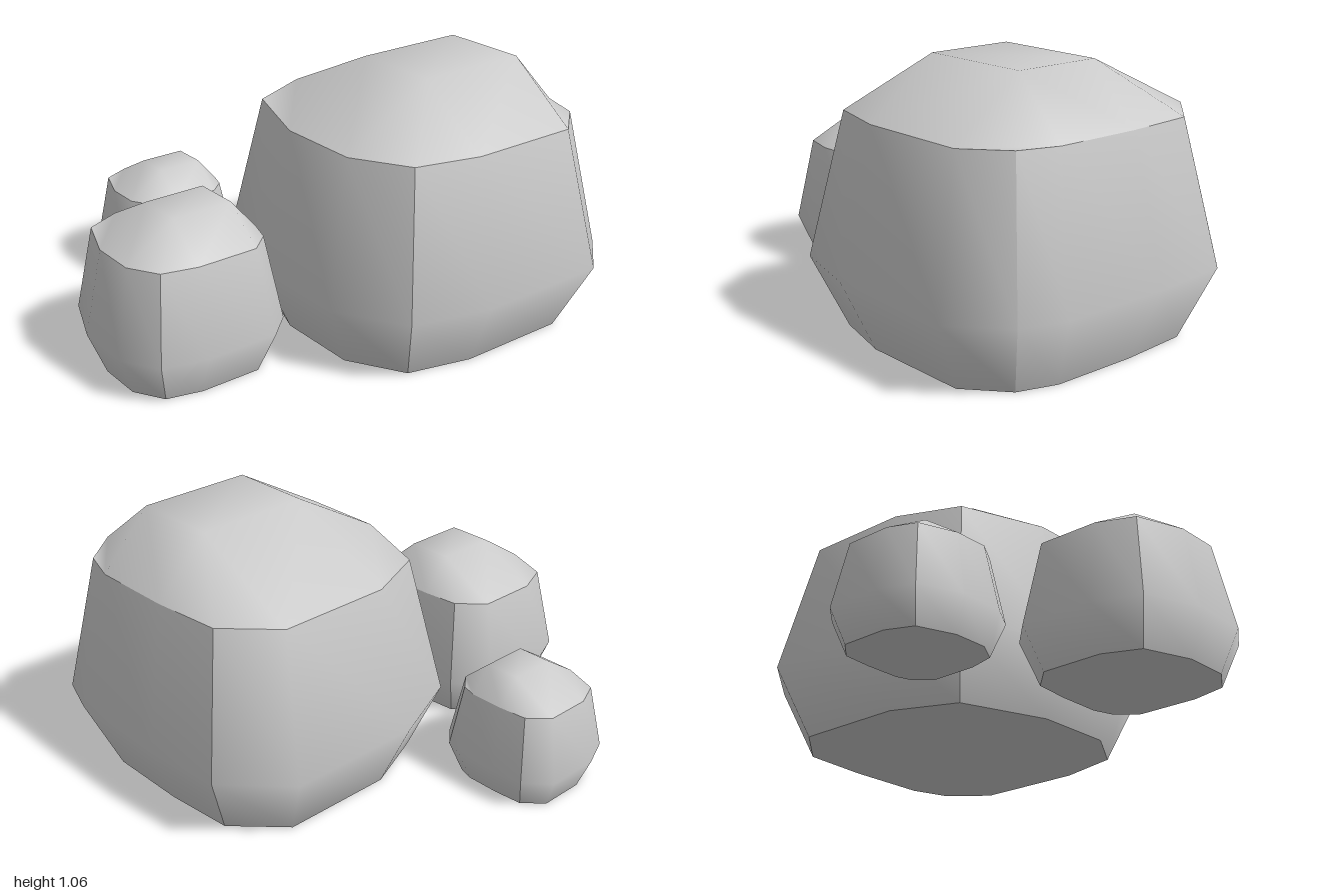
import * as THREE from 'three';
import { mergeGeometries } from 'three/addons/utils/BufferGeometryUtils.js';

// Twelve-point outlines [x, z], starting at the back right corner; every third point is a corner
const WIDE = [[-0.45, -0.615], [-0.12, -0.645], [0.33, -0.645], [0.505, -0.585], [0.678, -0.395], [0.678, 0.165],
  [0.595, 0.485], [0.33, 0.645], [-0.12, 0.645], [-0.535, 0.485], [-0.678, 0.165], [-0.678, -0.395]];
const NARROW = [[-0.365, -0.505], [-0.08, -0.53], [0.265, -0.53], [0.42, -0.48], [0.552, -0.325], [0.552, 0.135],
  [0.485, 0.395], [0.265, 0.525], [-0.08, 0.525], [-0.435, 0.395], [-0.548, 0.135], [-0.548, -0.325]];
// Small flat crown
const CROWN = [[-0.09, -0.32], [0.265, -0.32], [0.265, 0.145], [-0.09, 0.145]];

const at = (points, y) => points.map(([x, z]) => [x, y, z]);

// Smooth patch from a grid of points: rows run downwards, columns to the right, seen from outside
function patch(rows) {
  const n = rows[0].length;
  const index = [];
  for (let i = 0; i < rows.length - 1; i++) {
    for (let j = 0; j < n - 1; j++) {
      const a = i * n + j, b = a + 1, c = a + n, d = c + 1;
      index.push(a, c, d, a, d, b);
    }
  }
  const g = new THREE.BufferGeometry();
  g.setAttribute('position', new THREE.Float32BufferAttribute(rows.flat(2), 3));
  g.setIndex(index);
  g.computeVertexNormals();
  return g;
}

// Cap grid: an outline around four inner points
const capRows = (r, c) => [
  [r[0], r[1], r[2], r[3]],
  [r[11], c[0], c[1], r[4]],
  [r[10], c[3], c[2], r[5]],
  [r[9], r[8], r[7], r[6]],
];

// Boulder: six smooth patches meeting at sharp edges
function boulderGeometry() {
  const rings = [at(NARROW, 0.84), at(WIDE, 0.28), at(NARROW, 0)];
  const patches = [
    patch(capRows(rings[0], at(CROWN, 1.06))),
    patch(capRows(rings[2], at(CROWN, 0)).reverse()),
  ];
  for (let k = 0; k < 4; k++) {
    patches.push(patch(rings.map((r) => [3, 2, 1, 0].map((j) => r[(3 * k + j) % 12]))));
  }
  return mergeGeometries(patches);
}

export function createModel() {
  const group = new THREE.Group();
  group.name = 'boulders';
  const geometry = boulderGeometry();
  const material = new THREE.MeshStandardMaterial({ color: 0xcccccc });
  // name, x, z, width scale, height scale, depth scale
  const rocks = [
    ['largeBoulder', 0.237, -0.355, 1, 1, 1],
    ['mediumBoulder', 0.062, 0.65, 0.535, 0.608, 0.54],
    ['smallBoulder', -0.65, 0.26, 0.4, 0.456, 0.4],
  ];
  for (const [name, x, z, sx, sy, sz] of rocks) {
    const rock = new THREE.Mesh(geometry, material);
    rock.name = name;
    rock.position.set(x, 0, z);
    rock.scale.set(sx, sy, sz);
    group.add(rock);
  }
  return group;
}
